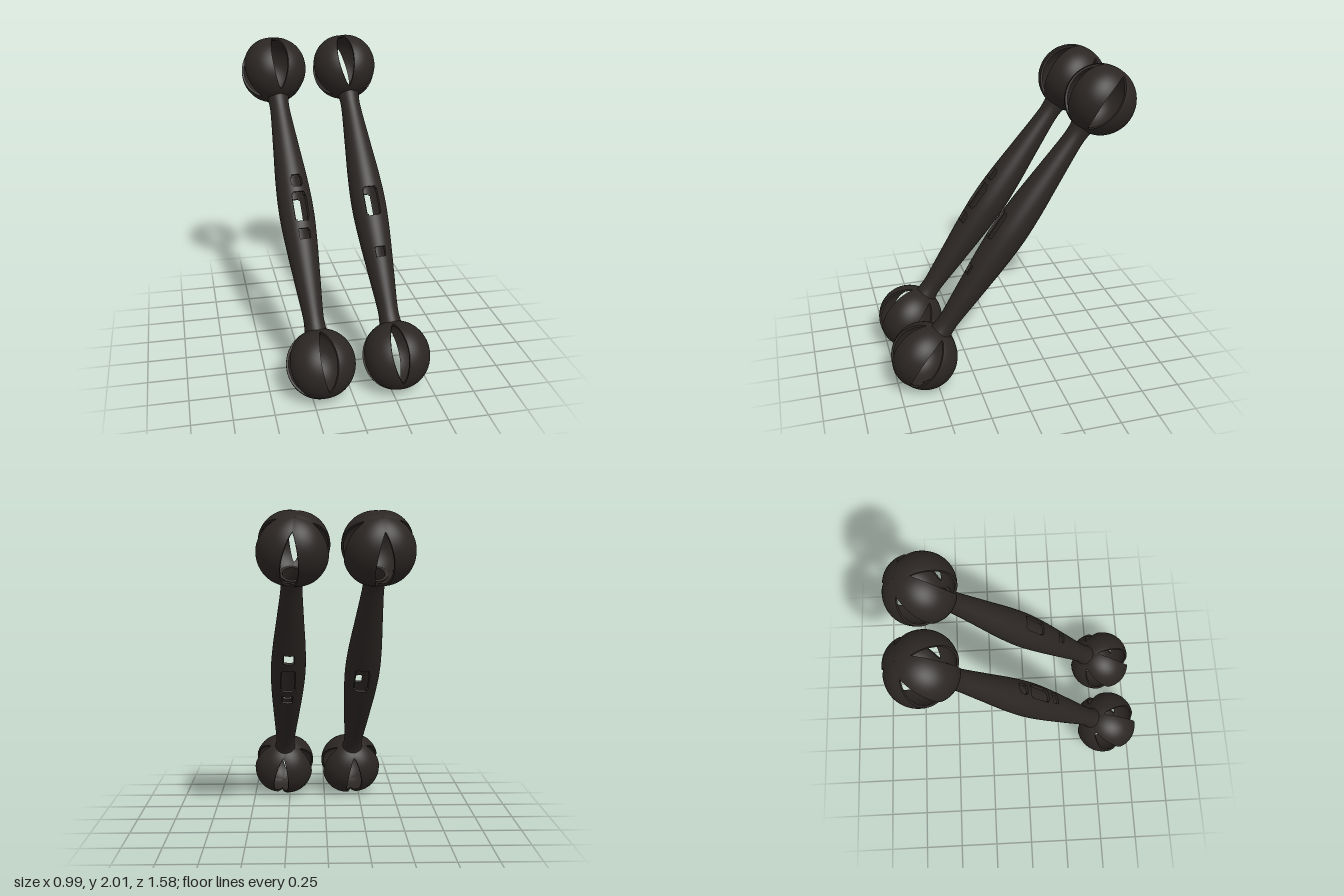
import * as THREE from 'three';

const material = new THREE.MeshStandardMaterial({ color: 0x2b2624 });
const R = 0.212; // ball radius

// Thick wall over a grid: point(u, v, depth), with cells left out where open(u, v) is true.
// Outer and inner skins share smooth vertices; rims around openings stay sharp.
function shell(nu, nv, thickness, wrap, point, open = () => false) {
  const pos = [], index = [];
  const cols = wrap ? nu : nu + 1;
  for (const depth of [0, thickness])
    for (let j = 0; j <= nv; j++)
      for (let i = 0; i < cols; i++) pos.push(...point(i / nu, j / nv, depth));
  const id = (i, j, side) => side * cols * (nv + 1) + j * cols + (wrap ? (i + nu) % nu : i);
  const solid = (i, j) => {
    if (j < 0 || j >= nv) return false;
    if (wrap) i = (i + nu) % nu;
    else if (i < 0 || i >= nu) return false;
    return !open((i + 0.5) / nu, (j + 0.5) / nv);
  };
  const rim = (a, b) => {
    const base = pos.length / 3;
    for (const [p, side] of [[a, 0], [a, 1], [b, 1], [b, 0]]) {
      const k = id(p[0], p[1], side) * 3;
      pos.push(pos[k], pos[k + 1], pos[k + 2]);
    }
    index.push(base, base + 1, base + 2, base, base + 2, base + 3);
  };
  for (let j = 0; j < nv; j++) {
    for (let i = 0; i < nu; i++) {
      if (!solid(i, j)) continue;
      const [a, b, c, d] = [[i, j], [i + 1, j], [i + 1, j + 1], [i, j + 1]];
      const [o, n] = [0, 1].map(s => [a, b, c, d].map(p => id(p[0], p[1], s)));
      index.push(o[0], o[1], o[2], o[0], o[2], o[3]);
      index.push(n[0], n[2], n[1], n[0], n[3], n[2]);
      if (!solid(i, j - 1)) rim(a, b);
      if (!solid(i + 1, j)) rim(b, c);
      if (!solid(i, j + 1)) rim(c, d);
      if (!solid(i - 1, j)) rim(d, a);
    }
  }
  const geometry = new THREE.BufferGeometry();
  geometry.setAttribute('position', new THREE.Float32BufferAttribute(pos, 3));
  geometry.setIndex(index);
  geometry.computeVertexNormals();
  return geometry;
}

// One quarter of a slit ball; the slit edges bow apart around the middle
function lobeGeometry() {
  return shell(16, 36, 0.014, false, (u, v, depth) => {
    const theta = THREE.MathUtils.lerp(Math.PI * 0.91, 0.01, v);
    const t = Math.cos(theta) * R / 0.182;
    const gap = 0.25 * Math.pow(Math.max(0, 1 - t * t), 0.4);
    const az = THREE.MathUtils.lerp(gap, Math.PI / 2 - gap, u);
    const r = R + 0.009 * Math.sin(Math.PI * u) * Math.sin(theta) - depth;
    const ring = r * Math.sin(theta);
    return [ring * Math.sin(az), r * Math.cos(theta), ring * Math.cos(az)];
  });
}

// Hollow shaft swelling at the middle, pierced by rounded windows
const swell = new THREE.SplineCurve([
  [0.074, -0.8], [0.064, -0.7], [0.084, -0.45], [0.104, -0.2], [0.112, 0],
  [0.104, 0.2], [0.083, 0.45], [0.064, 0.7], [0.074, 0.8],
].map(p => new THREE.Vector2(...p)));

function shaftGeometry(windows) {
  const place = (u, v) => ({ az: (u - 0.25) * Math.PI * 2, p: swell.getPoint(v) });
  return shell(72, 130, 0.018, true, (u, v, depth) => {
    const { az, p } = place(u, v);
    return [(p.x - depth) * Math.sin(az), p.y, (p.x - depth) * Math.cos(az)];
  }, (u, v) => {
    const { az, p } = place(u, v);
    return windows.some(w => {
      const da = Math.atan2(Math.sin(az - w.az), Math.cos(az - w.az));
      return (da / w.halfAngle) ** 4 + ((p.y - w.at) / w.halfHeight) ** 4 < 1;
    });
  });
}

const big = (az, at) => ({ az, at, halfAngle: 0.44, halfHeight: 0.1 });
const small = (az, at) => ({ az, at, halfAngle: 0.36, halfHeight: 0.036 });

function rattle(name, bottom, top, roll, windows, lobe) {
  const group = new THREE.Group();
  group.name = name;
  const a = new THREE.Vector3(...bottom), b = new THREE.Vector3(...top);
  const half = a.distanceTo(b) / 2;

  const shaft = new THREE.Mesh(shaftGeometry(windows), material);
  shaft.name = 'shaft';
  group.add(shaft);

  for (const side of [1, -1]) {
    const ball = new THREE.Group();
    ball.name = side > 0 ? 'topBall' : 'bottomBall';
    for (let k = 0; k < 4; k++) {
      const mesh = new THREE.Mesh(lobe, material);
      mesh.name = 'ballLobe';
      mesh.rotation.y = k * Math.PI / 2;
      ball.add(mesh);
    }
    ball.position.y = side * half;
    ball.rotation.set(0, roll, side > 0 ? 0 : Math.PI);
    group.add(ball);
  }

  // Lean the whole piece along the line between its ball centres
  const up = b.clone().sub(a).normalize();
  const front = new THREE.Vector3(1, 0, 0).cross(up).normalize();
  const across = up.clone().cross(front);
  group.quaternion.setFromRotationMatrix(new THREE.Matrix4().makeBasis(across, up, front));
  group.position.copy(a).add(b).multiplyScalar(0.5);
  return group;
}

export function createModel() {
  const model = new THREE.Group();
  model.name = 'rattlePair';
  const lobe = lobeGeometry();
  const back = Math.PI;
  model.add(
    rattle('rightRattle', [-0.19, 0.21, 0.58], [-0.285, 1.79, -0.575], 0.12,
      [small(0.15, 0.17), big(0.15, 0), small(0.15, -0.18), big(back - 0.1, 0)], lobe),
    rattle('leftRattle', [0.29, 0.21, 0.575], [0.195, 1.79, -0.58], -0.1,
      [big(0, 0), small(0, -0.33), small(back, 0.19), big(back, 0), small(back, -0.18)], lobe),
  );
  return model;
}
